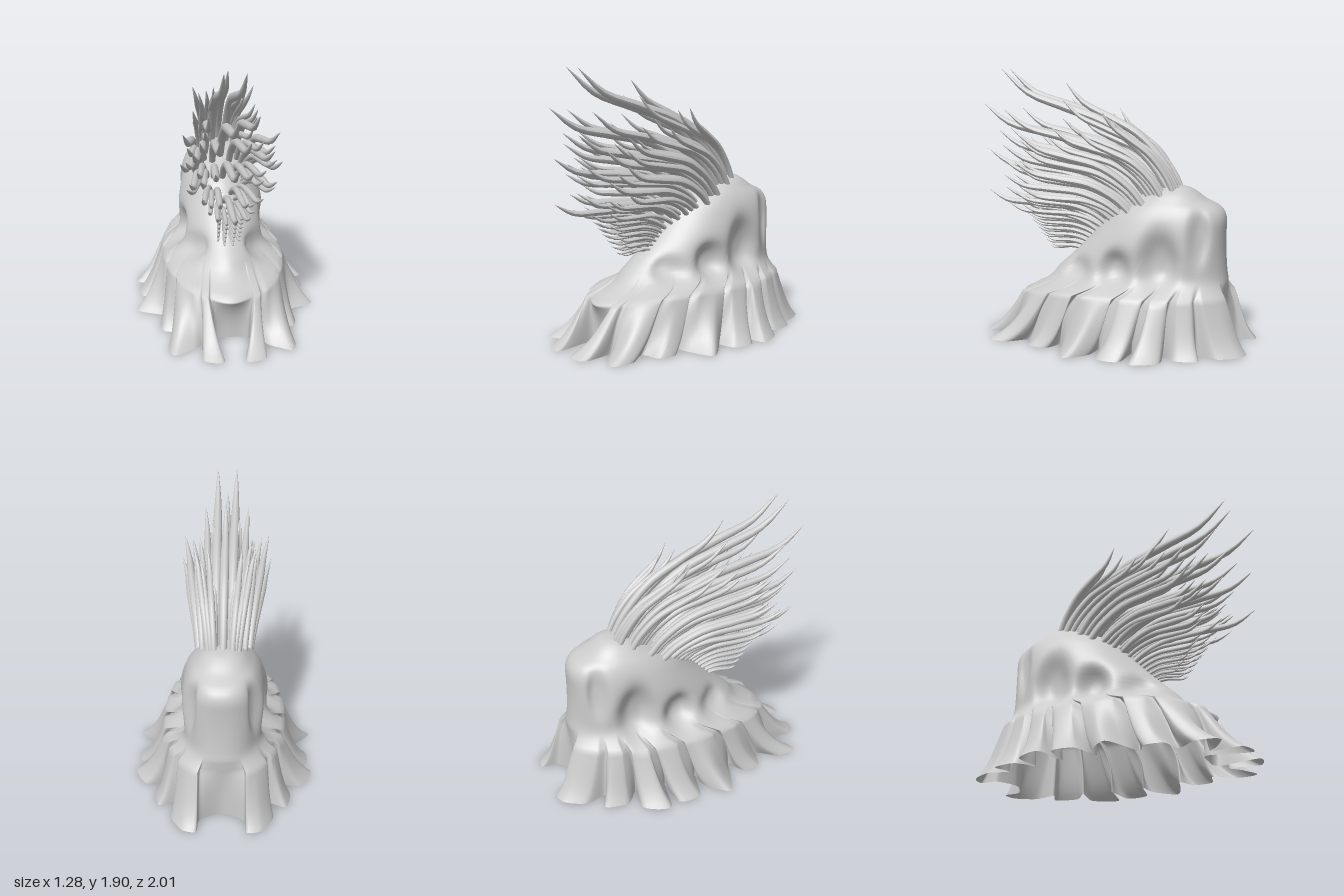
import * as THREE from 'three';

const material = new THREE.MeshStandardMaterial({ color: 0xcccccc, side: THREE.DoubleSide });
const V = (x, y, z) => new THREE.Vector3(x, y, z);
const smooth = THREE.MathUtils.smoothstep;
const lerp = THREE.MathUtils.lerp;

// Half of the skirt hem from front to back (x, z): root feet alternate with hollows
const hem = [
  [0, 0.6], [0.12, 0.63], [0.07, 0.92], [0.21, 0.89], [0.19, 0.68], [0.26, 0.74], [0.38, 0.81],
  [0.42, 0.77], [0.42, 0.65], [0.33, 0.52], [0.46, 0.47], [0.47, 0.34], [0.36, 0.27], [0.48, 0.23],
  [0.64, 0.15], [0.52, 0.01], [0.38, -0.02], [0.59, -0.07], [0.6, -0.23], [0.39, -0.26], [0.63, -0.31],
  [0.55, -0.49], [0.36, -0.47], [0.47, -0.57], [0.44, -0.73], [0.32, -0.69], [0.35, -0.84],
  [0.27, -0.98], [0.17, -1], [0.15, -0.88], [0, -0.81],
];

// Mound sections: height, half width, front z, back z
const sections = [
  [0.37, 0.42, 0.69, -0.87], [0.43, 0.36, 0.48, -0.84], [0.5, 0.315, 0.4, -0.825], [0.6, 0.31, 0.29, -0.815],
  [0.7, 0.31, 0.19, -0.81], [0.8, 0.295, 0.1, -0.81], [0.9, 0.265, 0.02, -0.81], [0.97, 0.23, -0.07, -0.77],
  [1.02, 0.19, -0.18, -0.67], [1.07, 0.14, -0.29, -0.6], [1.1, 0.08, -0.37, -0.54], [1.11, 0.001, -0.45, -0.451],
];
const spline = (points) => new THREE.CatmullRomCurve3(points, false, 'catmullrom', 0.5);
const frontCurve = spline(sections.map(([y, w, f]) => V(w, y, f)));
const backCurve = spline(sections.map(([y, w, , b]) => V(w, y, b)));

// Point on the mound at angle phi (0 = front) and level s (0 = shoulder, 1 = crown).
// The shoulder swells above the feet (foot = 1) and shrinks above the hollows (foot = 0).
function moundPoint(phi, s, foot) {
  const f = frontCurve.getPoint(s), b = backCurve.getPoint(s);
  const front = Math.max(0, Math.cos(phi));
  const bend = (v) => Math.sign(v) * Math.abs(v) ** (2 / (2.3 - 0.4 * front));
  const edge = Math.max(0, 1 - s * 8);
  const swell = 1 + edge * (foot * 0.09 - 0.06) * (1 - 0.7 * front ** 8);
  const drop = 0.07 * front ** 3 * edge;
  return V(f.x * bend(Math.sin(phi)) * swell, f.y - drop,
    (f.z + b.z) / 2 + ((f.z - b.z) / 2) * bend(Math.cos(phi)) * swell);
}

// Hollows in the flanks: z, y, z radius, y radius, depth
const hollows = [
  [-0.41, 0.61, 0.12, 0.19, 0.095], [-0.1, 0.54, 0.1, 0.12, 0.085],
  [0.2, 0.5, 0.1, 0.09, 0.06], [-0.67, 0.78, 0.06, 0.17, 0.05],
];
function dent(p) {
  let depth = 0;
  for (const [z, y, rz, ry, d] of hollows) {
    const q = ((p.z - z) / rz) ** 2 + ((p.y - y) / ry) ** 2;
    depth += d * Math.exp(-(q ** 1.5));
  }
  p.x -= Math.sign(p.x) * depth * smooth(Math.abs(p.x), 0.03, 0.2);
  return p;
}

function bodyGeometry() {
  const half = hem.slice(1, -1);
  const outline = [...hem, ...half.reverse().map(([x, z]) => [-x, z])];
  const curve = new THREE.CatmullRomCurve3(outline.map(([x, z]) => V(x, 0, z)), true, 'catmullrom', 0.4);

  // Shoulder angle above each hem point: kept increasing, and set back so the front feet lean forward
  const phis = [];
  hem.forEach(([x, z], i) => {
    const a = Math.atan2(x / 0.42, (z + 0.1) / 0.79);
    const leaning = a + 0.12 * Math.sin(a) * (1 + Math.cos(a));
    phis.push(i ? Math.max(phis[i - 1] + 0.025, leaning) : 0);
  });
  phis[hem.length - 1] = Math.PI;
  for (let i = hem.length - 2; i >= 0; i--) phis.push(Math.PI * 2 - phis[i]);

  const perPoint = 6, around = outline.length * perPoint, low = 14, high = 36;
  const positions = [], index = [];
  for (let j = 0; j <= low + high; j++) {
    for (let i = 0; i < around; i++) {
      const k = Math.floor(i / perPoint);
      const phi = lerp(phis[k], phis[k + 1], (i % perPoint) / perPoint);
      const base = curve.getPoint(i / around);
      const foot = smooth(Math.hypot(base.x / 0.42, (base.z + 0.1) / 0.79), 0.92, 1.25);
      let p;
      if (j < low) {
        // Skirt: feet flare evenly, hollows cut in below the shoulder
        const t = 1 - j / low;
        const top = moundPoint(phi, 0, foot);
        const flare = lerp(1 - (1 - t) ** 3, 0.75 * t + 0.25 * t ** 5, foot);
        p = V(lerp(top.x, base.x, flare), top.y * (1 - t), lerp(top.z, base.z, flare));
      } else {
        p = dent(moundPoint(phi, (j - low) / high, foot));
      }
      positions.push(p.x, p.y, p.z);
      if (j) {
        const n = (i + 1) % around, a = (j - 1) * around, b = j * around;
        index.push(a + i, a + n, b + n, a + i, b + n, b + i);
      }
    }
  }
  const geometry = new THREE.BufferGeometry();
  geometry.setAttribute('position', new THREE.Float32BufferAttribute(positions, 3));
  geometry.setIndex(index);
  geometry.computeVertexNormals();
  return geometry;
}

// Height of the mound's front ridge at x, z
const ridge = [[-0.5, 1.1], [-0.35, 1.085], [-0.2, 1.03], [-0.05, 0.96], [0.02, 0.9], [0.1, 0.8], [0.3, 0.59]];
function ridgeHeight(x, z) {
  let k = 0;
  while (k < ridge.length - 2 && z > ridge[k + 1][0]) k++;
  const [z0, y0] = ridge[k], [z1, y1] = ridge[k + 1];
  return lerp(y0, y1, (z - z0) / (z1 - z0)) - 2.2 * x * x;
}

// Leaf-like tendril: rises from the ridge, sweeps forward and curls up and out at the tip
function tendrilGeometry([rx, rz, tx, ty, tz, r]) {
  const root = V(rx, ridgeHeight(rx, rz) - 0.03, rz), tip = V(tx, ty, tz);
  const d = tip.clone().sub(root), len = d.length();
  const steep = smooth(d.y / len, 0.1, 0.6);
  const at = (t, lift, inward) => root.clone().addScaledVector(d, t).add(V(-inward * d.x, lift * len, 0));
  const curve = new THREE.CatmullRomCurve3([
    root, at(0.12, 0.03 + 0.05 * steep, 0), at(0.35, 0.04 + 0.07 * steep, 0),
    at(0.62, -0.01 + 0.05 * steep, 0.05), at(0.84, -0.045 + 0.025 * steep, 0.1), tip]);
  const n = 18, sides = 8;
  const geometry = new THREE.TubeGeometry(curve, n, r, sides);
  const pos = geometry.attributes.position, v = V(0, 0, 0);
  for (let i = 0; i <= n; i++) {
    const t = i / n, c = curve.getPointAt(t);
    const scale = (0.8 + 0.4 * t) * (1 - t ** 4.5) + 0.03;
    for (let s = 0; s <= sides; s++) {
      const id = i * (sides + 1) + s;
      v.fromBufferAttribute(pos, id).sub(c).multiplyScalar(scale).add(c);
      pos.setXYZ(id, v.x, v.y, v.z);
    }
  }
  geometry.computeVertexNormals();
  return geometry;
}

// Crest tendrils: root x, root z, tip x, tip y, tip z, radius
const centreTendrils = [
  [0, -0.48, 0, 1.81, 0.36, 0.03], [0, -0.25, 0, 1.65, 1, 0.033],
  [0, -0.05, 0, 1.32, 0.97, 0.029], [0, 0.08, 0, 1.02, 0.97, 0.025],
];
const sideTendrils = [
  [0.05, -0.43, 0.07, 1.9, 0.82, 0.034], [0.06, -0.49, 0.12, 1.6, 0.05, 0.023],
  [0.1, -0.47, 0.21, 1.62, 0.02, 0.022], [0.1, -0.33, 0.16, 1.62, 0.77, 0.03],
  [0.14, -0.4, 0.22, 1.5, 0.2, 0.024], [0.06, -0.2, 0.1, 1.47, 0.84, 0.029],
  [0.17, -0.28, 0.31, 1.46, 0.6, 0.028], [0.14, -0.2, 0.26, 1.38, 0.74, 0.028],
  [0.18, -0.18, 0.33, 1.27, 0.62, 0.027], [0.06, -0.06, 0.12, 1.26, 0.8, 0.027],
  [0.15, -0.1, 0.28, 1.17, 0.72, 0.025], [0.13, -0.02, 0.29, 1.08, 0.58, 0.023],
  [0.05, 0.04, 0.09, 1.06, 0.8, 0.023], [0.1, 0.03, 0.2, 1.04, 0.68, 0.022],
  [0.05, 0.1, 0.11, 0.95, 0.77, 0.019],
];

export function createModel() {
  const model = new THREE.Group();
  const add = (parent, geometry, name) => {
    const mesh = new THREE.Mesh(geometry, material);
    mesh.name = name;
    parent.add(mesh);
  };
  add(model, bodyGeometry(), 'rootedMound');

  const crest = new THREE.Group();
  crest.name = 'tendrilCrest';
  model.add(crest);

  const rows = [...sideTendrils];
  // Shorter filler tendrils between neighbouring ones
  sideTendrils.slice(1).forEach((row, i) => {
    const mid = row.map((v, k) => (v + sideTendrils[i][k]) / 2);
    mid[3] -= 0.05;
    mid[4] -= 0.08;
    mid[5] *= 0.85;
    rows.push(mid);
  });
  // Fine fringe at the foot of the crest
  for (let i = 0; i < 6; i++) {
    const t = i / 5;
    for (const x of [0.018, 0.045]) {
      rows.push([x, lerp(0.12, 0.25, t) - x * 0.4, x * 1.8, lerp(0.85, 0.61, t) + x, lerp(0.68, 0.49, t) - x, lerp(0.015, 0.01, t)]);
    }
  }
  centreTendrils.forEach((row) => add(crest, tendrilGeometry(row), 'centreTendril'));
  for (const row of rows) {
    for (const side of [1, -1]) {
      const [rx, rz, tx, ...rest] = row;
      add(crest, tendrilGeometry([rx * side, rz, tx * side, ...rest]), side > 0 ? 'leftTendril' : 'rightTendril');
    }
  }
  return model;
}
